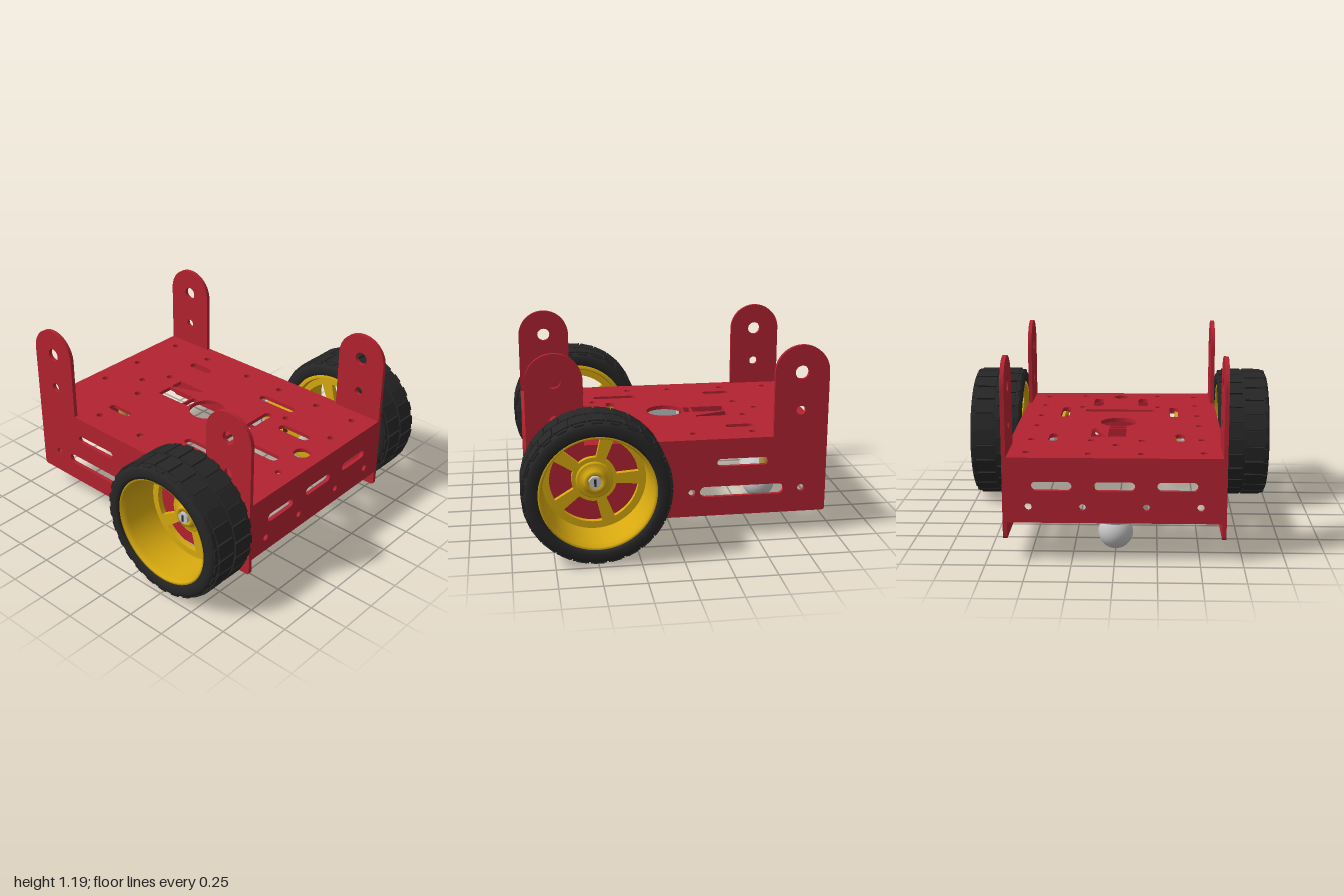
import * as THREE from 'three';

const mat = (name, color) => Object.assign(new THREE.MeshStandardMaterial({ color }), { name });

export function createModel() {
  const red = mat('red metal', 0xb32230);
  const yellow = mat('yellow plastic', 0xd6a80f);
  const rubber = mat('black rubber', 0x262626);
  const silver = mat('silver metal', 0xc4c4c4);
  const brass = mat('brass', 0xc29a45);
  const dark = mat('dark recess', 0x3a3008);

  const model = new THREE.Group();
  model.name = 'robotChassis';

  function add(parent, name, geometry, material, x = 0, y = 0, z = 0) {
    const m = new THREE.Mesh(geometry, material);
    m.name = name;
    m.position.set(x, y, z);
    parent.add(m);
    return m;
  }
  const extrude = (shape, depth) =>
    new THREE.ExtrudeGeometry(shape, { depth, bevelEnabled: false, curveSegments: 14 });
  const poly = (pts) => new THREE.Shape(pts.map((p) => new THREE.Vector2(p[0], p[1])));
  const rect = (x0, y0, x1, y1) => poly([[x0, y0], [x1, y0], [x1, y1], [x0, y1]]);
  function hole(shape, x, y, r) {
    shape.holes.push(new THREE.Path().absarc(x, y, r, 0, Math.PI * 2, false));
  }
  // Round-ended slot between outer extents, horizontal or vertical
  function slot(shape, x0, y0, x1, y1) {
    const p = new THREE.Path();
    if (x1 - x0 > y1 - y0) {
      const r = (y1 - y0) / 2, c = (y0 + y1) / 2;
      p.absarc(x1 - r, c, r, -Math.PI / 2, Math.PI / 2, false);
      p.absarc(x0 + r, c, r, Math.PI / 2, Math.PI * 1.5, false);
    } else {
      const r = (x1 - x0) / 2, c = (x0 + x1) / 2;
      p.absarc(c, y1 - r, r, 0, Math.PI, false);
      p.absarc(c, y0 + r, r, Math.PI, Math.PI * 2, false);
    }
    p.closePath();
    shape.holes.push(p);
  }

  // Deck: shape drawn in (x, -z), laid flat
  const deck = rect(-0.627, -0.89, 0.627, 0.935);
  for (const s of [-1, 1]) {
    for (const z of [-0.81, -0.5, -0.13, 0.155, 0.47, 0.755]) hole(deck, s * 0.52, -z, 0.022);
    for (const z of [-0.835, -0.52]) hole(deck, s * 0.155, -z, 0.022);
    for (const z of [0.42, 0.78]) hole(deck, s * 0.26, -z, 0.021);
    for (const [x, z0, z1, w] of [[0.39, -0.535, -0.355, 0.028], [0.365, 0.12, 0.405, 0.029], [0.155, 0.455, 0.69, 0.034]])
      slot(deck, s * x - w, -z1, s * x + w, -z0);
  }
  hole(deck, 0, 0.63, 0.022);
  hole(deck, 0, 0.03, 0.118);
  hole(deck, 0, -0.755, 0.053);
  slot(deck, -0.235, -0.337, 0.235, -0.283);
  deck.holes.push(rect(-0.055, 0.21, 0.055, 0.42));
  deck.holes.push(rect(-0.052, 0.155, 0.052, 0.198));
  deck.holes.push(poly([[0.068, 0.42], [0.16, 0.42], [0.16, 0.21], [0.138, 0.215]]));
  add(model, 'deck', extrude(deck, 0.025).rotateX(-Math.PI / 2), red, 0, 0.605, 0);

  // Front and back walls
  const wall = rect(-0.627, 0.24, 0.627, 0.606);
  slot(wall, -0.12, 0.433, 0.12, 0.487);
  for (const s of [-1, 1]) {
    slot(wall, s * 0.365 - 0.118, 0.433, s * 0.365 + 0.118, 0.487);
    hole(wall, s * 0.5, 0.335, 0.022);
    hole(wall, s * 0.185, 0.335, 0.02);
  }
  const wallGeo = extrude(wall, 0.025);
  add(model, 'frontWall', wallGeo, red, 0, 0, 0.865);
  add(model, 'backWall', wallGeo, red, 0, 0, -0.935);

  // Side plates with upright posts: shape drawn in (-z, y)
  const side = new THREE.Shape();
  side.moveTo(-0.87, 0.14);
  side.lineTo(0.915, 0.14);
  side.quadraticCurveTo(0.935, 0.14, 0.935, 0.16);
  side.lineTo(0.935, 1.025);
  side.absarc(0.7675, 1.025, 0.1675, 0, Math.PI, false);
  side.lineTo(0.6, 0.63);
  side.lineTo(-0.55, 0.63);
  side.lineTo(-0.55, 1.02);
  side.absarc(-0.72, 1.02, 0.17, 0, Math.PI, false);
  side.lineTo(-0.89, 0.16);
  side.quadraticCurveTo(-0.89, 0.14, -0.87, 0.14);
  for (const u of [0.765, -0.72]) {
    hole(side, u, 1.025, 0.042);
    hole(side, u, 0.79, 0.028);
  }
  slot(side, 0.255, 0.455, 0.57, 0.503);
  slot(side, 0.15, 0.262, 0.67, 0.328);
  hole(side, 0.1, 0.293, 0.021);
  hole(side, 0.78, 0.293, 0.022);
  const sideGeo = extrude(side, 0.025).rotateY(Math.PI / 2);
  add(model, 'leftSidePlate', sideGeo, red, 0.625);
  add(model, 'rightSidePlate', sideGeo, red, -0.65);

  // Turned part about local z; profile is [radius, z], counter-clockwise
  const turn = (pts, n = 64) =>
    new THREE.LatheGeometry(pts.map((p) => new THREE.Vector2(p[0], p[1])), n).rotateX(Math.PI / 2);

  // Wheel parts, axis along local z, which runs outward from the car
  const tyreGeo = turn([[0.343, 0.668], [0.365, 0.658], [0.4, 0.66], [0.417, 0.672], [0.424, 0.69], [0.425, 0.83],
    [0.424, 0.97], [0.417, 0.988], [0.4, 0.998], [0.365, 1.0], [0.343, 0.992], [0.343, 0.668]]);
  const rimGeo = turn([[0.318, 0.672], [0.348, 0.672], [0.348, 0.985], [0.328, 0.985], [0.318, 0.95], [0.308, 0.75], [0.308, 0.7], [0.318, 0.672]]);
  const hubGeo = turn([[0.001, 0.68], [0.11, 0.68], [0.11, 0.75], [0.1, 0.755], [0.07, 0.755], [0.065, 0.785], [0.04, 0.785], [0.04, 0.76], [0.001, 0.76]], 40);
  const spokes = new THREE.Shape().absarc(0, 0, 0.315, 0, Math.PI * 2, false);
  for (let i = 0; i < 5; i++) {
    const a = (i * 2 * Math.PI) / 5, b = a + (2 * Math.PI) / 5;
    const p = new THREE.Path();
    p.absarc(0, 0, 0.265, a + 0.15, b - 0.15, false);
    p.absarc(0, 0, 0.135, b - 0.22, a + 0.22, true);
    p.closePath();
    spokes.holes.push(p);
  }
  const spokeGeo = extrude(spokes, 0.035);
  const blockGeo = new THREE.BoxGeometry(0.022, 0.094, 0.122);
  const lugGeo = new THREE.BoxGeometry(0.016, 0.06, 0.03);

  function makeWheel(name, s) {
    const wheel = new THREE.Group();
    wheel.name = name;
    wheel.position.set(0, 0.445, 0.5);
    wheel.rotation.y = (s * Math.PI) / 2;
    add(wheel, 'tyre', tyreGeo, rubber);
    add(wheel, 'rim', rimGeo, yellow);
    add(wheel, 'spokes', spokeGeo, yellow, 0, 0, 0.7);
    add(wheel, 'hub', hubGeo, yellow);
    // Two staggered rows of tread blocks with shoulder lugs
    const n = 26;
    for (const row of [-1, 1]) for (let i = 0; i < n; i++) {
      const a = ((i + (row > 0 ? 0.5 : 0)) * 2 * Math.PI) / n;
      const put = (label, geo, r, z) => {
        add(wheel, label, geo, rubber, Math.cos(a) * r, Math.sin(a) * r, z).rotation.z = a;
      };
      put('treadBlock', blockGeo, 0.424, 0.83 + row * 0.069);
      put('shoulderLug', lugGeo, 0.419, 0.83 + row * 0.142);
    }
    // Axle end and its screw
    add(wheel, 'axle', new THREE.CylinderGeometry(0.036, 0.036, 0.54, 24).rotateX(Math.PI / 2), silver, 0, 0, 0.53);
    add(wheel, 'axleSlot', new THREE.BoxGeometry(0.012, 0.045, 0.004), rubber, 0, 0, 0.801);
    model.add(wheel);
  }
  makeWheel('leftWheel', 1);
  makeWheel('rightWheel', -1);

  // Gear motors: gearbox with rounded front end, flat-sided can and end cap
  const gearbox = new THREE.Shape();
  gearbox.moveTo(0.35, -0.15);
  gearbox.lineTo(0.35, 0.15);
  gearbox.lineTo(-0.07, 0.15);
  gearbox.quadraticCurveTo(-0.15, 0.15, -0.15, 0.07);
  gearbox.lineTo(-0.15, -0.07);
  gearbox.quadraticCurveTo(-0.15, -0.15, -0.07, -0.15);
  const gearboxGeo = extrude(gearbox, 0.245).rotateY(Math.PI / 2);
  const can = new THREE.Shape();
  can.absarc(0, 0, 0.135, 0.85, Math.PI - 0.85, false);
  can.absarc(0, 0, 0.135, Math.PI + 0.85, Math.PI * 2 - 0.85, false);
  can.closePath();
  for (const s of [-1, 1]) {
    const motor = new THREE.Group();
    motor.name = s > 0 ? 'leftMotor' : 'rightMotor';
    motor.position.set(s * 0.5, 0.445, 0.5);
    add(motor, 'gearbox', gearboxGeo, yellow, -0.1225);
    add(motor, 'motorCan', extrude(can, 0.33), silver, 0, 0, -0.675);
    add(motor, 'motorStrap', new THREE.BoxGeometry(0.21, 0.285, 0.05), silver, 0, 0, -0.42);
    add(motor, 'endBoss', new THREE.CylinderGeometry(0.045, 0.045, 0.03, 20).rotateX(Math.PI / 2), silver, 0, 0, -0.688);
    for (const [y, z] of [[0.1, -0.05], [-0.1, -0.05], [0.1, -0.27], [-0.1, -0.27], [0, -0.17]])
      add(motor, 'screwHole', new THREE.CylinderGeometry(0.018, 0.018, 0.006, 14).rotateZ(Math.PI / 2), dark, s * -0.124, y, z);
    model.add(motor);
  }

  // Ball caster hung from two standoffs
  const caster = new THREE.Group();
  caster.name = 'ballCaster';
  caster.position.z = -0.67;
  add(caster, 'ball', new THREE.SphereGeometry(0.105, 40, 28), silver, 0, 0.105);
  add(caster, 'socket', new THREE.CylinderGeometry(0.132, 0.115, 0.06, 40), silver, 0, 0.21);
  add(caster, 'socketCap', new THREE.CylinderGeometry(0.065, 0.12, 0.05, 32), silver, 0, 0.265);
  add(caster, 'flange', new THREE.BoxGeometry(0.26, 0.03, 0.12), silver, 0, 0.25);
  for (const s of [-1, 1]) {
    add(caster, 'ear', new THREE.CylinderGeometry(0.06, 0.06, 0.05, 28), silver, s * 0.135, 0.26);
    add(caster, 'standoff', new THREE.CylinderGeometry(0.034, 0.034, 0.33, 6), brass, s * 0.155, 0.445);
  }
  model.add(caster);

  return model;
}
